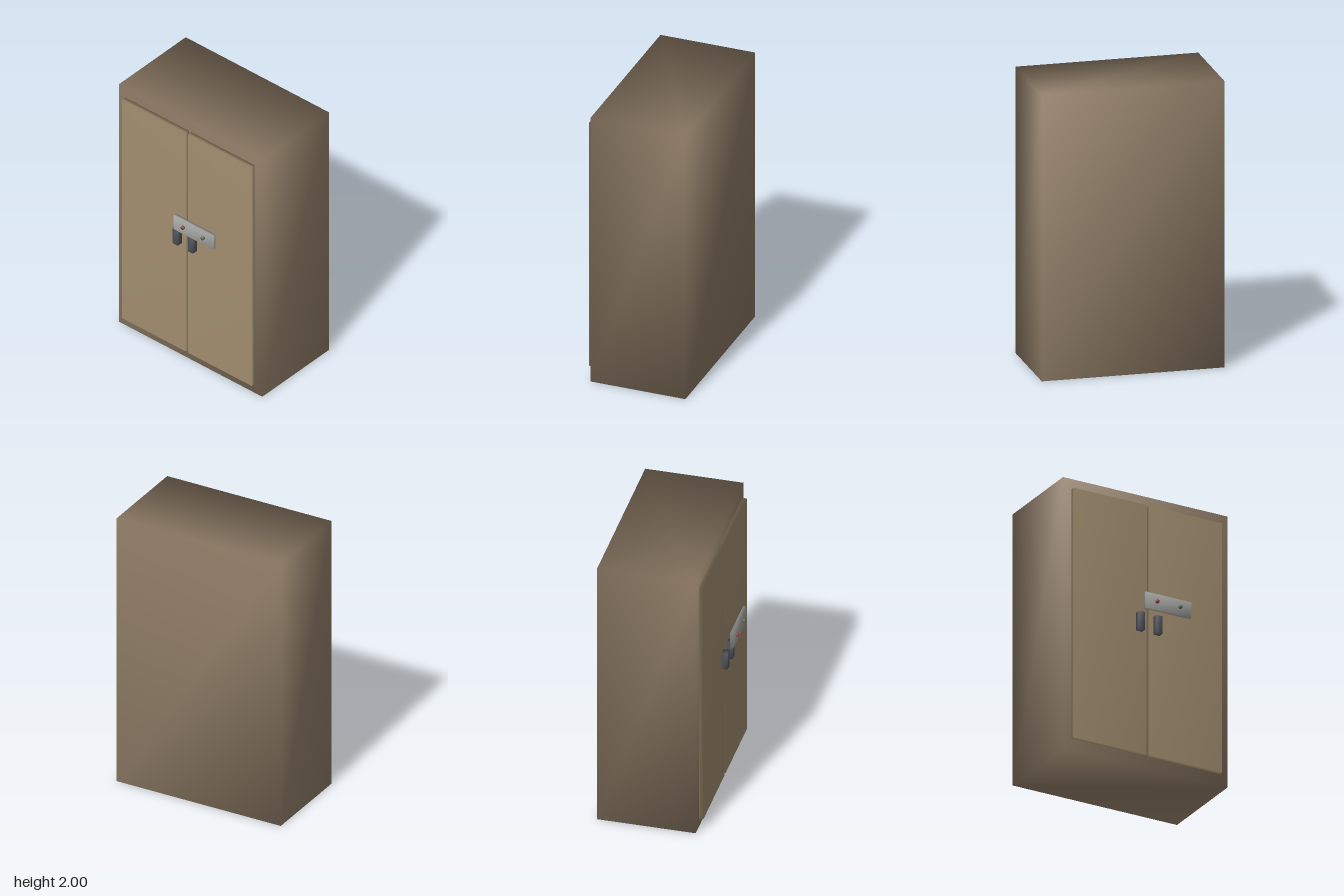
import * as THREE from 'three';
import { mergeVertices } from 'three/addons/utils/BufferGeometryUtils.js';

const material = (color) => new THREE.MeshStandardMaterial({ color });

// Share corner vertices so that the normals blend across the edges
function soften(geometry) {
  geometry.deleteAttribute('normal');
  geometry.deleteAttribute('uv');
  const merged = mergeVertices(geometry, 1e-4);
  merged.computeVertexNormals();
  return merged;
}

// Box given by its extents on each axis
function slab(name, [x0, x1], [y0, y1], [z0, z1], mat) {
  const mesh = new THREE.Mesh(soften(new THREE.BoxGeometry(x1 - x0, y1 - y0, z1 - z0)), mat);
  mesh.position.set((x0 + x1) / 2, (y0 + y1) / 2, (z0 + z1) / 2);
  mesh.name = name;
  return mesh;
}

export function createModel() {
  const model = new THREE.Group();
  model.name = 'cabinet';
  const bodyMat = material(0x8f7c66);
  const doorMat = material(0xa38f70);
  const handleMat = material(0x565960);
  const plateMat = material(0xaaaaa8);

  // Solid cabinet body
  model.add(slab('body', [-0.632, 0.632], [0, 2], [-0.402, 0.279], bodyMat));

  // Paired doors, each with a small upright handle
  model.add(slab('rightDoor', [-0.572, -0.012], [0.082, 1.92], [0.285, 0.317], doorMat));
  model.add(slab('leftDoor', [0.01, 0.57], [0.082, 1.92], [0.285, 0.317], doorMat));
  model.add(slab('rightHandle', [-0.092, -0.046], [0.977, 1.107], [0.317, 0.358], handleMat));
  model.add(slab('leftHandle', [0.042, 0.088], [0.977, 1.107], [0.317, 0.358], handleMat));

  // Lock plate across the gap, with two indicator lamps
  model.add(slab('lockPlate', [-0.058, 0.294], [1.129, 1.245], [0.364, 0.387], plateMat));
  for (const [name, x, color] of [['redLamp', 0.029, 0x9c4a48], ['greenLamp', 0.206, 0x5a7a5c]]) {
    const lamp = new THREE.Mesh(soften(new THREE.CylinderGeometry(0.013, 0.013, 0.015, 12)), material(color));
    lamp.rotation.x = Math.PI / 2;
    lamp.position.set(x, 1.188, 0.3945);
    lamp.name = name;
    model.add(lamp);
  }
  return model;
}
